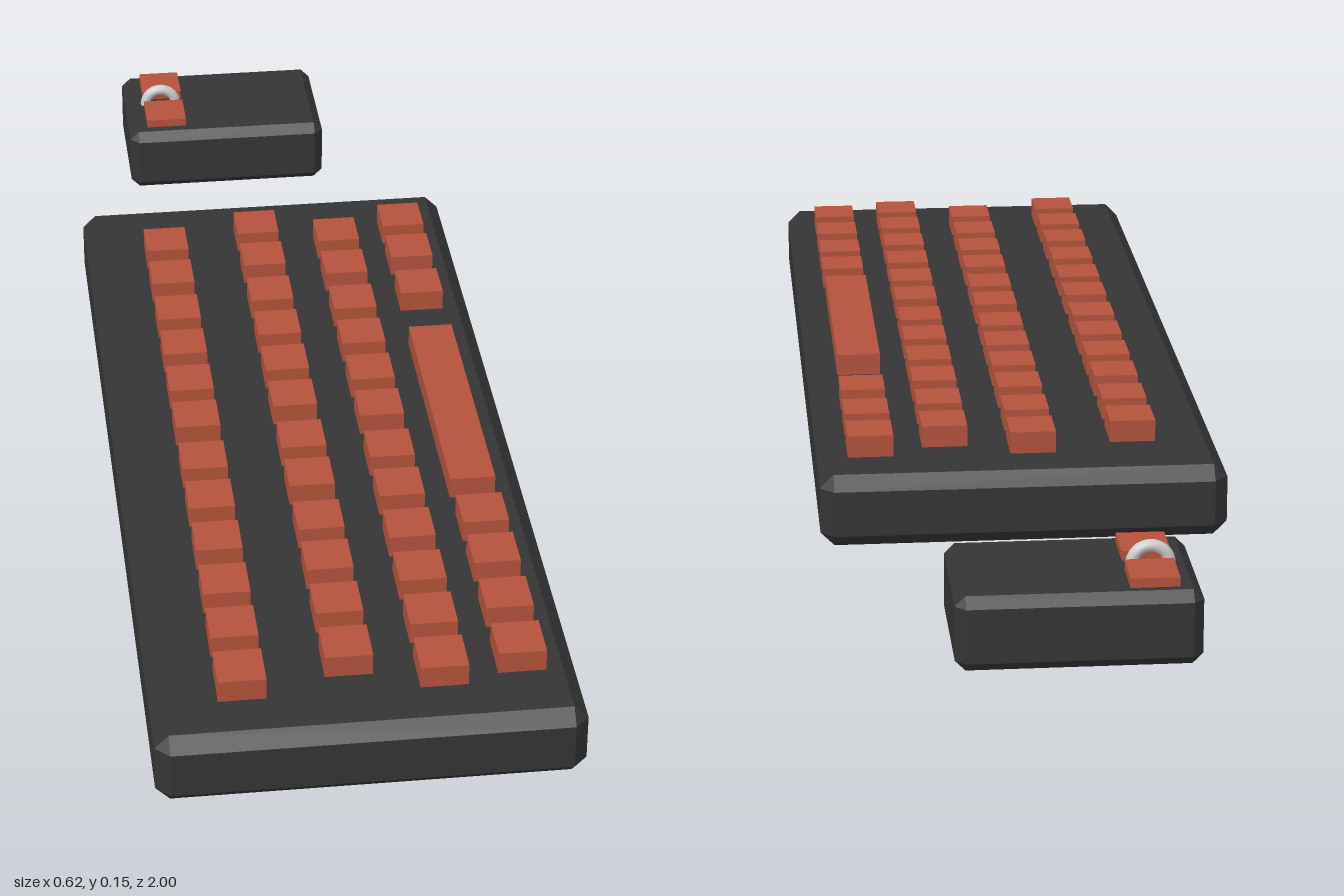
import * as THREE from 'three';
import { ConvexGeometry } from 'three/addons/geometries/ConvexGeometry.js';

const dark = new THREE.MeshStandardMaterial({ color: 0x353535 });
const red = new THREE.MeshStandardMaterial({ color: 0xb5533c });
const grey = new THREE.MeshStandardMaterial({ color: 0xcccccc });

// Box with every edge cut by a flat chamfer c
function chamferBox(w, h, d, c) {
  const points = [];
  for (const sx of [-1, 1]) for (const sy of [-1, 1]) for (const sz of [-1, 1]) {
    const x = w / 2, y = h / 2, z = d / 2;
    points.push(
      new THREE.Vector3(sx * x, sy * (y - c), sz * (z - c)),
      new THREE.Vector3(sx * (x - c), sy * y, sz * (z - c)),
      new THREE.Vector3(sx * (x - c), sy * (y - c), sz * z));
  }
  return new ConvexGeometry(points);
}

function add(parent, name, geometry, material, x, y, z) {
  const mesh = new THREE.Mesh(geometry, material);
  mesh.name = name;
  mesh.position.set(x, y, z);
  parent.add(mesh);
  return mesh;
}

export function createModel() {
  const model = new THREE.Group();
  model.name = 'keyboardAndMouse';

  // Keyboard case
  const keyboard = new THREE.Group();
  keyboard.name = 'keyboard';
  model.add(keyboard);
  add(keyboard, 'keyboardCase', chamferBox(0.62, 0.113, 1.504, 0.021), dark, 0, 0.0565, 0.248);

  // Key rows, running along z
  const outer = [-0.333, -0.225, -0.111, -0.003, 0.106, 0.212, 0.33, 0.437, 0.548, 0.659, 0.767, 0.873];
  const middle = [-0.373, -0.267, -0.153, -0.045, 0.063, 0.169, 0.288, 0.394, 0.511, 0.616, 0.725, 0.833];
  const rows = [
    ['numberRowKey', -0.178, outer],
    ['upperRowKey', -0.02, middle],
    ['homeRowKey', 0.113, outer],
    ['bottomRowKey', 0.229, [-0.37, -0.265, -0.148, 0.521, 0.627, 0.741, 0.852]],
  ];
  const keyGeometry = new THREE.BoxGeometry(0.07, 0.047, 0.074);
  for (const [name, x, zs] of rows)
    for (const z of zs) add(keyboard, name, keyGeometry, red, x, 0.1235, z);

  // Space bar
  add(keyboard, 'spaceBar', new THREE.BoxGeometry(0.07, 0.047, 0.447), red, 0.227, 0.1235, 0.218);

  // Mouse body, two buttons and scroll wheel
  const mouse = new THREE.Group();
  mouse.name = 'mouse';
  model.add(mouse);
  add(mouse, 'mouseBody', chamferBox(0.348, 0.111, 0.236, 0.015), dark, -0.03, 0.0555, -0.882);
  const buttonGeometry = new THREE.BoxGeometry(0.07, 0.035, 0.074);
  for (const side of [-1, 1])
    add(mouse, 'mouseButton', buttonGeometry, red, -0.137, 0.1075, -0.884 + side * 0.053);
  add(mouse, 'scrollWheel', new THREE.TorusGeometry(0.027, 0.009, 12, 48), grey, -0.141, 0.112, -0.884);

  return model;
}
